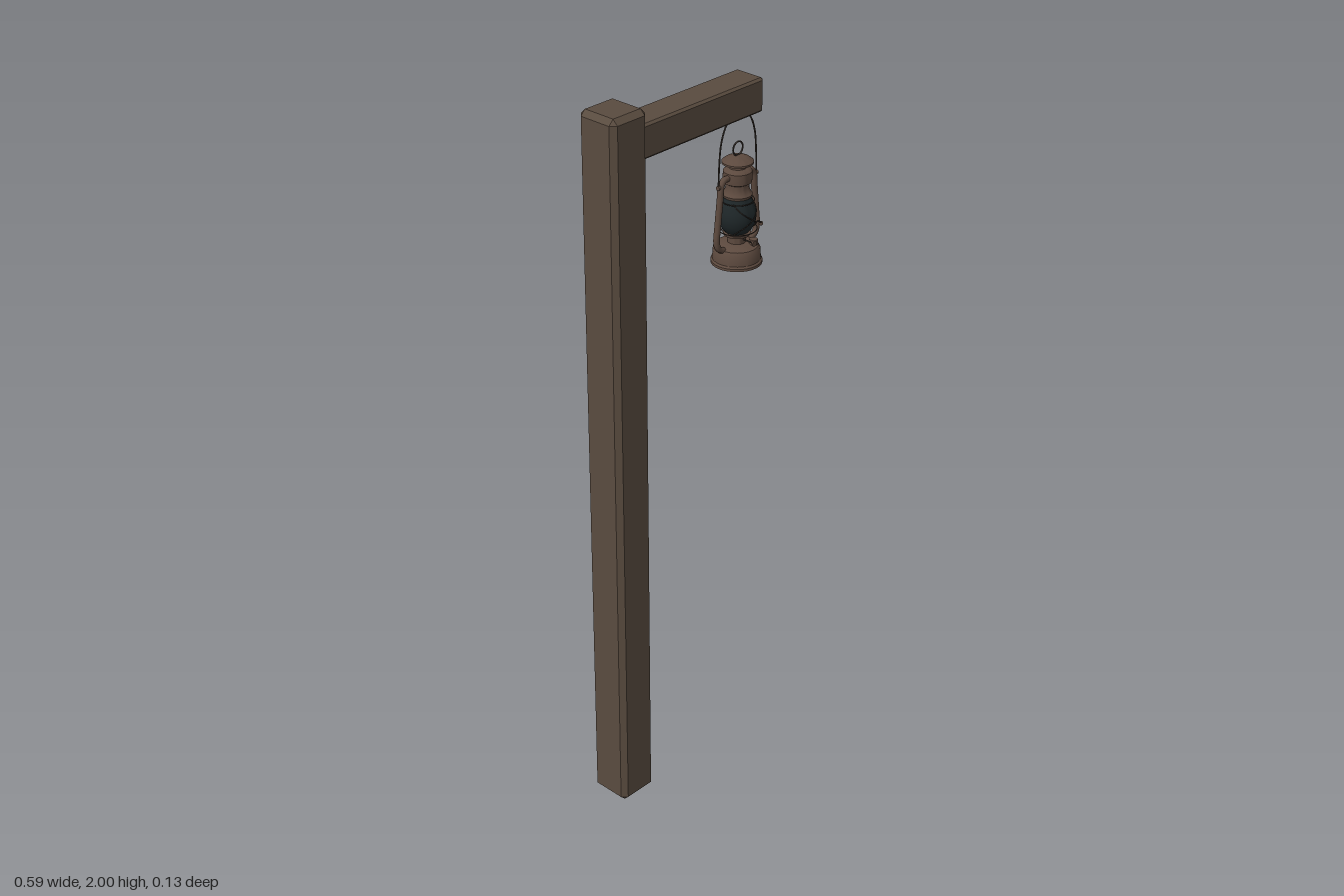
import * as THREE from 'three';
import { toCreasedNormals } from 'three/addons/utils/BufferGeometryUtils.js';
import { ConvexGeometry } from 'three/addons/geometries/ConvexGeometry.js';

const material = (name, color) => {
  const m = new THREE.MeshStandardMaterial({ color });
  m.name = name;
  return m;
};
const V = (x, y, z = 0) => new THREE.Vector3(x, y, z);

export function createModel() {
  const wood = material('weathered wood', 0x594b3f);
  const metal = material('rusty metal', 0x5c493e);
  const wire = material('dark wire', 0x3a322d);
  const glass = material('dark glass', 0x1e2628);
  const model = new THREE.Group();
  model.name = 'lanternPost';
  const lantern = new THREE.Group();
  lantern.name = 'lantern';
  lantern.position.x = 0.204;
  model.add(lantern);

  const add = (parent, name, geometry, mat, x = 0, y = 0, z = 0) => {
    const mesh = new THREE.Mesh(geometry, mat);
    mesh.name = name;
    mesh.position.set(x, y, z);
    parent.add(mesh);
    return mesh;
  };

  // Box with every edge cut at 45 degrees
  const chamferBox = (w, h, d, c) => {
    const points = [];
    for (const sx of [-1, 1]) for (const sy of [-1, 1]) for (const sz of [-1, 1]) {
      for (let k = 0; k < 3; k++) {
        const cut = (i) => (i === k ? 0 : c);
        points.push(V(sx * (w / 2 - cut(0)), sy * (h / 2 - cut(1)), sz * (d / 2 - cut(2))));
      }
    }
    return new ConvexGeometry(points);
  };
  const lathe = (profile) => toCreasedNormals(
    new THREE.LatheGeometry(profile.map(([r, y]) => new THREE.Vector2(r, y)), 32), 0.6);
  const tube = (points, r, steps = 32, closed = false) => new THREE.TubeGeometry(
    new THREE.CatmullRomCurve3(points, closed), steps, r, 8, closed);

  // Timber post and arm
  add(model, 'post', chamferBox(0.118, 2, 0.12, 0.014), wood, -0.234, 1, 0);
  add(model, 'arm', chamferBox(0.435, 0.09, 0.09, 0.006), wood, 0.03, 1.91, 0);

  // Fuel tank with a flared foot and domed top
  add(lantern, 'fuelTank', lathe([[0, 1.457], [0.067, 1.457], [0.067, 1.464], [0.063, 1.469],
    [0.061, 1.497], [0.056, 1.505], [0.042, 1.511], [0.026, 1.514], [0, 1.515]]), metal);
  add(lantern, 'fuelCap', new THREE.CylinderGeometry(0.011, 0.012, 0.014, 16), metal, 0.022, 1.517, 0.038);

  // Burner and perforated plate below the globe
  add(lantern, 'burner', lathe([[0.024, 1.51], [0.024, 1.53], [0.034, 1.534], [0.036, 1.541],
    [0.028, 1.545], [0, 1.545]]), metal);

  // Glass globe
  add(lantern, 'globe', lathe([[0.028, 1.54], [0.039, 1.552], [0.047, 1.568], [0.05, 1.587],
    [0.048, 1.605], [0.041, 1.624], [0.034, 1.64], [0.031, 1.65]]), glass);

  // Chimney, hood and vented cap
  add(lantern, 'chimney', lathe([[0.031, 1.638], [0.037, 1.64], [0.039, 1.647], [0.034, 1.653],
    [0.03, 1.664], [0.03, 1.676], [0.037, 1.68], [0.038, 1.69], [0.037, 1.709], [0.03, 1.716],
    [0.023, 1.718], [0.023, 1.73], [0.041, 1.73], [0.041, 1.735], [0.032, 1.742], [0.016, 1.749],
    [0, 1.751]]), metal);
  add(lantern, 'liftingRing', new THREE.TorusGeometry(0.018, 0.0022, 8, 24), wire, 0, 1.768, 0);

  // Guard wires crossing on the front and back of the globe
  for (const side of [-1, 1]) for (const lean of [-1, 1]) {
    const points = [];
    for (let i = 0; i <= 6; i++) {
      const t = i / 6;
      const r = 0.038 + 0.016 * Math.sin(Math.PI * t);
      const a = lean * (t - 0.5) * 2.2;
      points.push(V(r * Math.sin(a), 1.545 + 0.085 * t, side * r * Math.cos(a)));
    }
    add(lantern, 'guardWire', tube(points, 0.0013), wire);
  }
  for (const [r, y] of [[0.052, 1.551], [0.044, 1.63]]) {
    const ring = add(lantern, 'guardRing', new THREE.TorusGeometry(r, 0.0014, 6, 32), wire, 0, y, 0);
    ring.rotation.x = Math.PI / 2;
  }

  // Side air tubes, with lugs for the bail
  for (const s of [-1, 1]) {
    add(lantern, 'airTube', tube([V(s * 0.03, 1.697), V(s * 0.05, 1.697), V(s * 0.06, 1.685),
      V(s * 0.065, 1.645), V(s * 0.072, 1.58), V(s * 0.076, 1.535), V(s * 0.07, 1.515),
      V(s * 0.05, 1.503)], 0.0085, 40), metal);
    const lug = add(lantern, 'bailLug', new THREE.CylinderGeometry(0.006, 0.006, 0.012, 12), metal,
      s * 0.068, 1.682, 0);
    lug.rotation.z = Math.PI / 2;
  }

  // Globe lever on the left air tube
  add(lantern, 'leverRod', tube([V(0.04, 1.545, 0.01), V(0.065, 1.55, 0.012), V(0.084, 1.54, 0.011)],
    0.002, 12), wire);
  add(lantern, 'leverKnob', new THREE.SphereGeometry(0.006, 12, 8), metal, 0.083, 1.538, 0.009);

  // Wick wheel on the front
  const rod = add(lantern, 'wickRod', new THREE.CylinderGeometry(0.002, 0.002, 0.04, 8), wire, 0, 1.525, 0.04);
  const wheel = add(lantern, 'wickWheel', new THREE.CylinderGeometry(0.008, 0.008, 0.005, 16), metal, 0, 1.525, 0.059);
  rod.rotation.x = wheel.rotation.x = Math.PI / 2;

  // Carrying bail looped up to the arm
  add(lantern, 'bail', tube([V(-0.071, 1.68), V(-0.069, 1.74), V(-0.062, 1.8), V(-0.045, 1.84),
    V(-0.02, 1.86), V(0, 1.864), V(0.02, 1.86), V(0.045, 1.84), V(0.062, 1.8), V(0.069, 1.74),
    V(0.071, 1.68)], 0.0022, 64), wire);

  return model;
}
